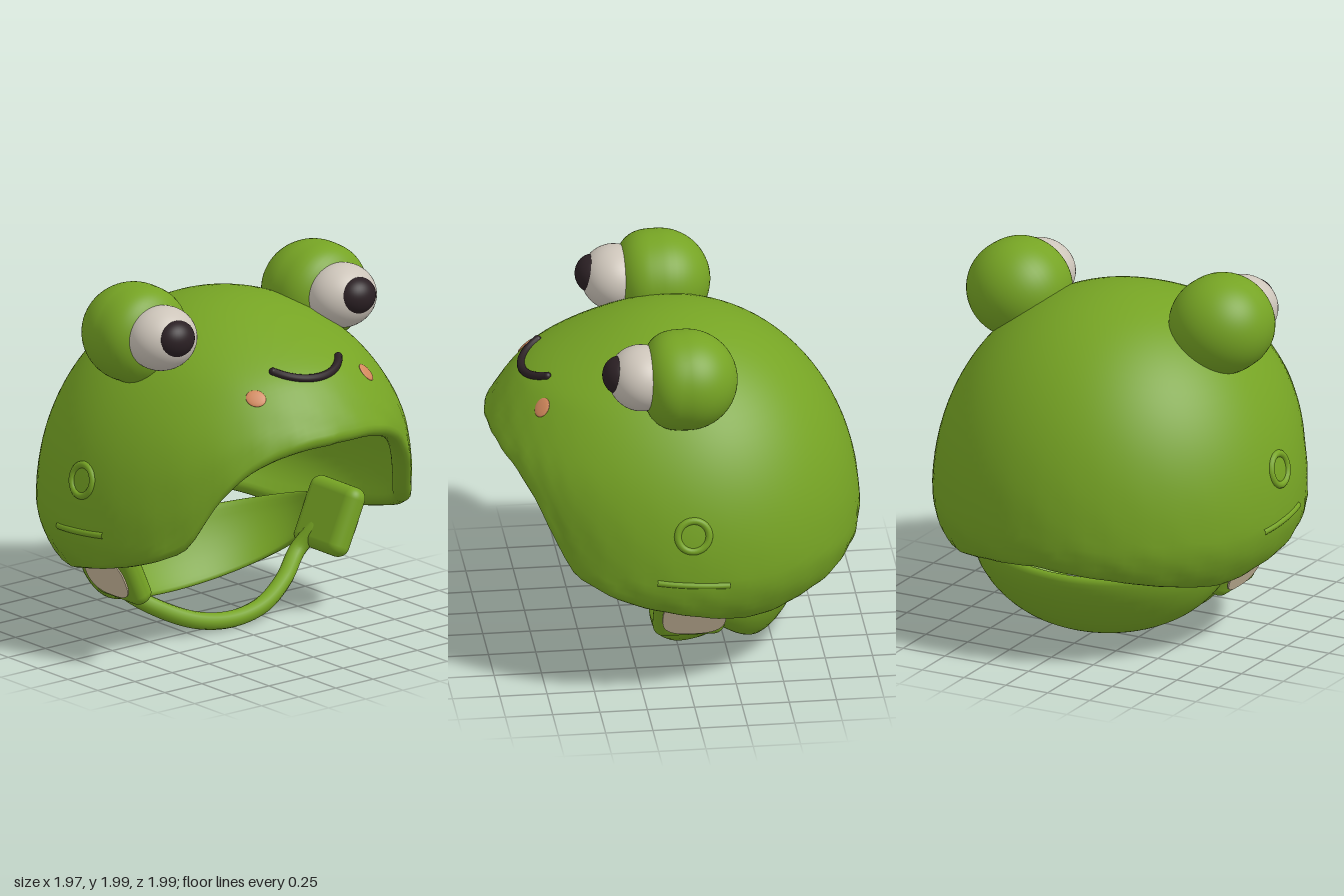
import * as THREE from 'three';
import { mergeVertices } from 'three/addons/utils/BufferGeometryUtils.js';
import { RoundedBoxGeometry } from 'three/addons/geometries/RoundedBoxGeometry.js';

const { sin, cos, abs, sign, PI, max, asin } = Math;
const { smoothstep } = THREE.MathUtils;
const V = (x, y, z) => new THREE.Vector3(x, y, z);

const material = (name, color) => {
  const m = new THREE.MeshStandardMaterial({ color });
  m.name = name;
  return m;
};

// Smooth surface from a rule giving a point for each (column, row); columns may wrap round.
function grid(nu, nv, wrap, point) {
  const pos = [], idx = [], cols = wrap ? nu : nu + 1;
  for (let i = 0; i < cols; i++) for (let j = 0; j <= nv; j++) pos.push(...point(i / nu, j));
  for (let i = 0; i < nu; i++) for (let j = 0; j < nv; j++) {
    const k = (i + 1) % cols, a = i * (nv + 1) + j, b = k * (nv + 1) + j;
    idx.push(a, b, b + 1, a, b + 1, a + 1);
  }
  let g = new THREE.BufferGeometry();
  g.setAttribute('position', new THREE.Float32BufferAttribute(pos, 3));
  g.setIndex(idx);
  g = mergeVertices(g, 1e-5);
  g.computeVertexNormals();
  return g;
}

// Dome: a half ellipsoid that tucks in below its widest level and juts forward (+x) as a brim.
const MID = 0.72, WIDTH = 0.985, TOP = 1.11, LOW = 0.62;
function dome(theta, e) {
  const y = MID + sin(e) * (e > 0 ? TOP : LOW);
  const brim = 0.135 * max(0, cos(theta)) ** 2.3 * smoothstep(1.83 - y, 0, 0.3) * smoothstep(y, 0.7, 1.3);
  return [WIDTH * max(0, cos(e)) ** 0.96 + brim, y];
}
const elevation = y => asin((y - MID) / (y > MID ? TOP : LOW));
function onDome(theta, y, lift = 0) {
  const r = dome(theta, elevation(y))[0] + lift;
  return V(r * cos(theta), y, r * sin(theta));
}
function domeNormal(theta, y) {
  const du = onDome(theta + 0.02, y).sub(onDome(theta - 0.02, y));
  const dv = onDome(theta, y - 0.02).sub(onDome(theta, y + 0.02));
  return du.cross(dv).normalize();
}

// Height of the rim by angle from the front, in degrees
const rimHeight = new THREE.CubicInterpolant(
  [0, 15, 30, 40, 45, 50, 58, 70, 90, 112, 140, 160, 180],
  [1.3, 1.28, 1.18, 1.02, 0.89, 0.76, 0.68, 0.6, 0.51, 0.43, 0.5, 0.56, 0.6], 1);

function shellGeometry() {
  const OUT = 32, ROLL = 8, IN = 24, T = 0.1;
  return grid(120, OUT + ROLL + IN, true, (u, j) => {
    const theta = u * 2 * PI;
    const deg = u <= 0.5 ? u * 360 : 360 - u * 360;
    const end = elevation(rimHeight.evaluate(deg)[0]);
    const pair = f => {
      const e = PI / 2 + (end - PI / 2) * f;
      const o = dome(theta, e), n = dome(theta, e - 0.01);
      const t = new THREE.Vector2(n[0] - o[0], n[1] - o[1]).normalize();
      const rough = 0.006 * sin(theta * 23 + f * 31) * sin(theta * 9 - f * 17) * f ** 6;
      return { o: [o[0] + rough, o[1]], t, i: f === 0 ? [0, o[1] - T] : [max(0, o[0] + t.y * T), o[1] - t.x * T] };
    };
    let r, y;
    if (j <= OUT) [r, y] = pair(j / OUT).o;
    else if (j < OUT + ROLL) {
      const { o, i, t } = pair(1), s = (j - OUT) / ROLL * PI;
      r = (o[0] + i[0]) / 2 + (o[0] - i[0]) / 2 * cos(s) + t.x * T / 2 * sin(s);
      y = (o[1] + i[1]) / 2 + (o[1] - i[1]) / 2 * cos(s) + t.y * T / 2 * sin(s);
    } else [r, y] = pair(1 - (j - OUT - ROLL) / IN).i;
    return [r * cos(theta), y, r * sin(theta)];
  });
}

// Eye mound: a ball with a blunter front, left open where it sits inside the shell
function moundGeometry(side) {
  return grid(48, 28, true, (u, j) => {
    const polar = j / 28 * 2.15, a = u * 2 * PI;
    const p = V(sin(polar) * cos(a), cos(polar), sin(polar) * sin(a));
    p.applyAxisAngle(V(1, 0, 0), 0.7 * side);
    const x = p.x > 0 ? 0.245 * p.x ** 0.62 : 0.268 * p.x;
    return [x, 0.265 * p.y, 0.275 * p.z];
  });
}

// Neck flap: a thick, bowed sheet slung from side to side behind the chin strap
function flapGeometry() {
  return grid(40, 24, false, (u, j) => {
    const a = (u - 0.5) * PI, s = j / 24 * 2 * PI;
    const upper = V(-0.18 - 0.47 * cos(a), 0.55 - 0.12 * cos(a), 0.72 * sin(a));
    const lower = V(-0.13 - 0.32 * cos(a), 0.34 - 0.27 * cos(a), 0.63 * sin(a));
    const k = -sign(cos(s)) * abs(cos(s)) ** 0.7;
    const w = 0.03 * sign(sin(s)) * abs(sin(s)) ** 0.5 + 0.035 * (1 - k * k);
    return lower.clone().add(upper).multiplyScalar(0.5)
      .addScaledVector(upper.sub(lower), k / 2)
      .addScaledVector(V(-0.85 * cos(a), -0.5, 0.85 * sin(a)), w).toArray();
  });
}

const tube = (points, radius, n = 48) =>
  new THREE.TubeGeometry(new THREE.CatmullRomCurve3(points), n, radius, 12);

export function createModel() {
  const root = new THREE.Group();
  root.name = 'frogHelmet';
  const green = material('frog green', 0x76a424);
  const white = material('eye white', 0xcdc5ba);
  const dark = material('dark brown', 0x2b2024);
  const coral = material('cheek coral', 0xd2885c);
  const tan = material('patch tan', 0xcebd9f);

  const add = (name, geo, mat, p = V(0, 0, 0), parent = root) => {
    const m = new THREE.Mesh(geo, mat);
    m.name = name;
    m.position.copy(p);
    parent.add(m);
    return m;
  };
  const ball = (name, mat, p, sx, sy, sz) => {
    const m = add(name, new THREE.SphereGeometry(1, 40, 28), mat, p);
    m.scale.set(sx, sy, sz);
    return m;
  };

  add('helmetShell', shellGeometry(), green);
  add('neckFlap', flapGeometry(), green);

  // Smile, following the brow of the dome
  const smile = [];
  for (let i = -6; i <= 6; i++) smile.push(onDome(i / 6 * 0.31, 1.555 + 0.045 * (i / 6) ** 2, 0.004));
  add('smile', tube(smile, 0.022), dark);
  for (const i of [0, 12]) ball('smileEnd', dark, smile[i], 0.022, 0.022, 0.022);

  // Chin strap
  const half = [[-0.05, 0.4, 0.67], [-0.1, 0.28, 0.58], [-0.02, 0.165, 0.42], [0.05, 0.08, 0.22]];
  const strap = [...half.map(p => V(...p)), V(0.07, 0.05, 0),
    ...half.slice().reverse().map(([x, y, z]) => V(x, y, -z))];
  add('chinStrap', tube(strap, 0.046, 80), green);

  // Rounded patch outline
  const outline = [];
  for (let i = 0; i < 40; i++) {
    const a = i / 40 * 2 * PI, q = v => sign(v) * abs(v) ** 0.7;
    outline.push(new THREE.Vector2(0.168 * q(cos(a)), 0.13 * q(sin(a))));
  }
  const patchGeo = new THREE.ExtrudeGeometry(new THREE.Shape(outline), { depth: 0.009, bevelEnabled: false });
  patchGeo.translate(0, 0, -0.0045);

  for (const s of [1, -1]) {
    // Eyes
    add('eyeMound', moundGeometry(s), green, V(-0.005, 1.728, 0.605 * s));
    ball('eyeWhite', white, V(0.235, 1.752, 0.605 * s), 0.175, 0.172, 0.193);
    ball('pupil', dark, V(0.345, 1.775, 0.61 * s), 0.096, 0.102, 0.115);

    // Cheeks
    const ct = 0.47 * s;
    const cheek = ball('cheek', coral, onDome(ct, 1.493), 0.054, 0.046, 0.01);
    cheek.quaternion.setFromUnitVectors(V(0, 0, 1), domeNormal(ct, 1.493));

    // Side dimple ring and crease
    const ring = add('sideRing', new THREE.TorusGeometry(0.083, 0.02, 12, 36), green, onDome(s * PI / 2, 0.98, -0.008));
    ring.quaternion.setFromUnitVectors(V(0, 0, 1), domeNormal(s * PI / 2, 0.98));
    const crease = [];
    for (let i = -3; i <= 3; i++) crease.push(onDome(s * (PI / 2 - i * 0.065), 0.705 + i * 0.006, -0.006));
    add('sideCrease', tube(crease, 0.018, 24), green);

    // Strap tab with its patch
    const tab = new THREE.Group();
    tab.name = 'strapTab';
    tab.position.set(-0.008, 0.455, 0.72 * s);
    tab.rotation.x = 0.42 * s;
    root.add(tab);
    add('tabPad', new RoundedBoxGeometry(0.38, 0.38, 0.13, 6, 0.06), green, V(0, 0, 0), tab);
    add('tabPatch', patchGeo, tan, V(-0.018, -0.01, 0.066 * s), tab);
  }
  return root;
}
